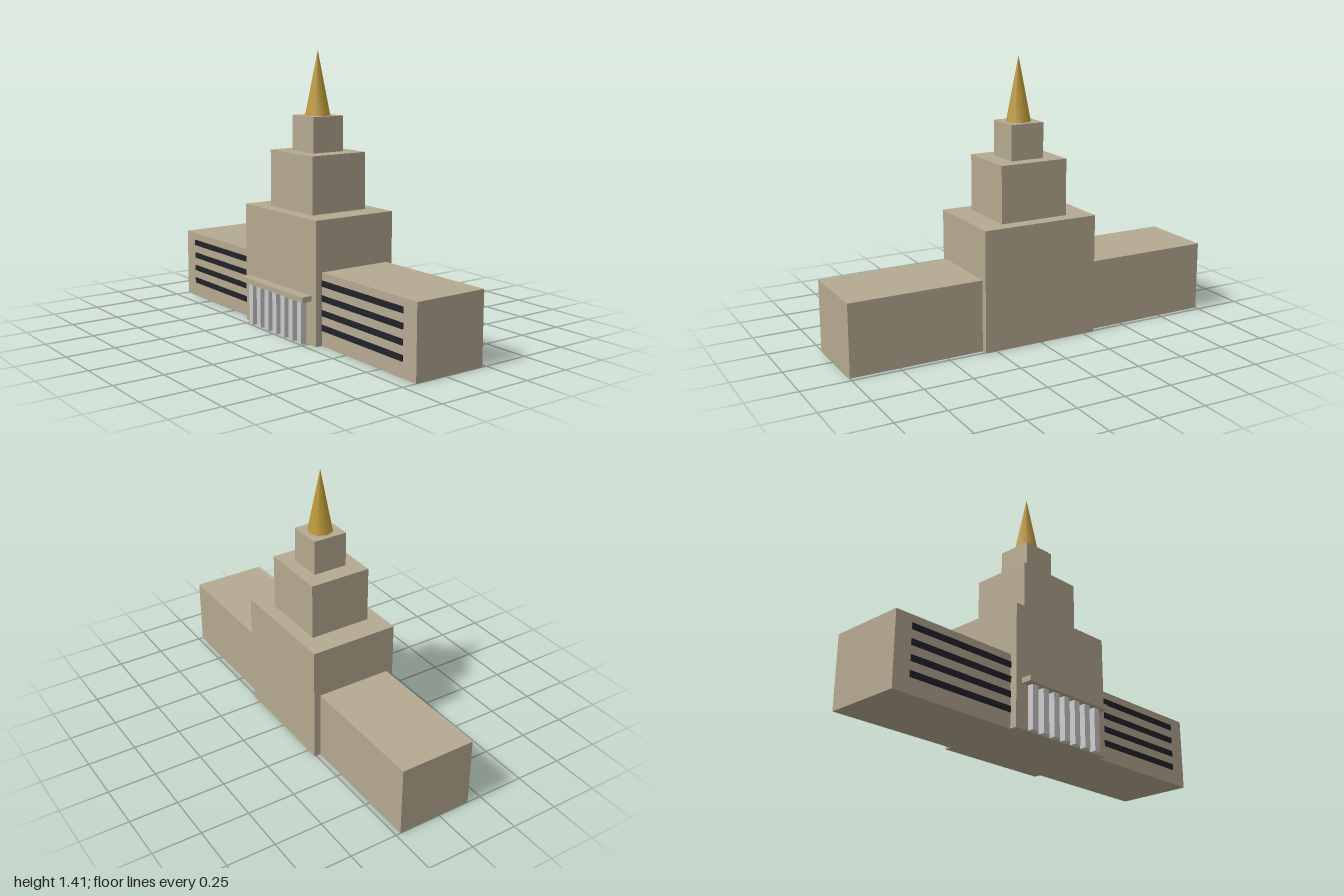
import * as THREE from 'three';

const stone = new THREE.MeshStandardMaterial({ color: 0xb5a990 });
stone.name = 'stone';
const gold = new THREE.MeshStandardMaterial({ color: 0xc09a3a });
gold.name = 'gold';
const paleGrey = new THREE.MeshStandardMaterial({ color: 0xcacacc });
paleGrey.name = 'paleGrey';
const darkGlass = new THREE.MeshStandardMaterial({ color: 0x22222a });
darkGlass.name = 'darkGlass';

export function createModel() {
  const model = new THREE.Group();
  model.name = 'steppedTowerBuilding';

  // Box given by its minimum and maximum on each axis
  function box(name, material, [x0, x1], [y0, y1], [z0, z1], parent = model) {
    const mesh = new THREE.Mesh(new THREE.BoxGeometry(x1 - x0, y1 - y0, z1 - z0), material);
    mesh.position.set((x0 + x1) / 2, (y0 + y1) / 2, (z0 + z1) / 2);
    mesh.name = name;
    parent.add(mesh);
    return mesh;
  }

  // Stepped tower
  box('towerBase', stone, [-0.21, 0.26], [0, 0.62], [-0.31, 0.31]);
  box('towerMiddle', stone, [-0.138, 0.188], [0.62, 0.91], [-0.182, 0.182]);
  box('towerTop', stone, [-0.065, 0.117], [0.91, 1.09], [-0.09, 0.09]);

  // Spire
  const spire = new THREE.Mesh(new THREE.ConeGeometry(0.064, 0.325, 8), gold);
  spire.position.set(0.026, 1.09 + 0.1625, 0);
  spire.name = 'spire';
  model.add(spire);

  // Side wings with window bands on the entrance side
  for (const side of [-1, 1]) {
    const span = (a, b) => (side > 0 ? [a, b] : [-b, -a]);
    const wing = new THREE.Group();
    wing.name = side > 0 ? 'frontWing' : 'backWing';
    model.add(wing);
    box('wingBlock', stone, [-0.173, 0.225], [0, 0.365], span(0.31, 1), wing);
    for (let i = 0; i < 4; i++) {
      const y = 0.092 + i * 0.073;
      box('windowBand', darkGlass, [-0.177, -0.172], [y - 0.015, y + 0.015], span(0.31, 0.91), wing);
    }
  }

  // Entrance portico: a row of columns under a flat canopy
  const portico = new THREE.Group();
  portico.name = 'portico';
  model.add(portico);
  for (let i = -3; i <= 3; i++) {
    const z = i * 0.072;
    box('column', paleGrey, [-0.243, -0.205], [0, 0.22], [z - 0.018, z + 0.018], portico);
  }
  box('canopy', stone, [-0.264, -0.205], [0.22, 0.247], [-0.274, 0.274], portico);

  return model;
}
